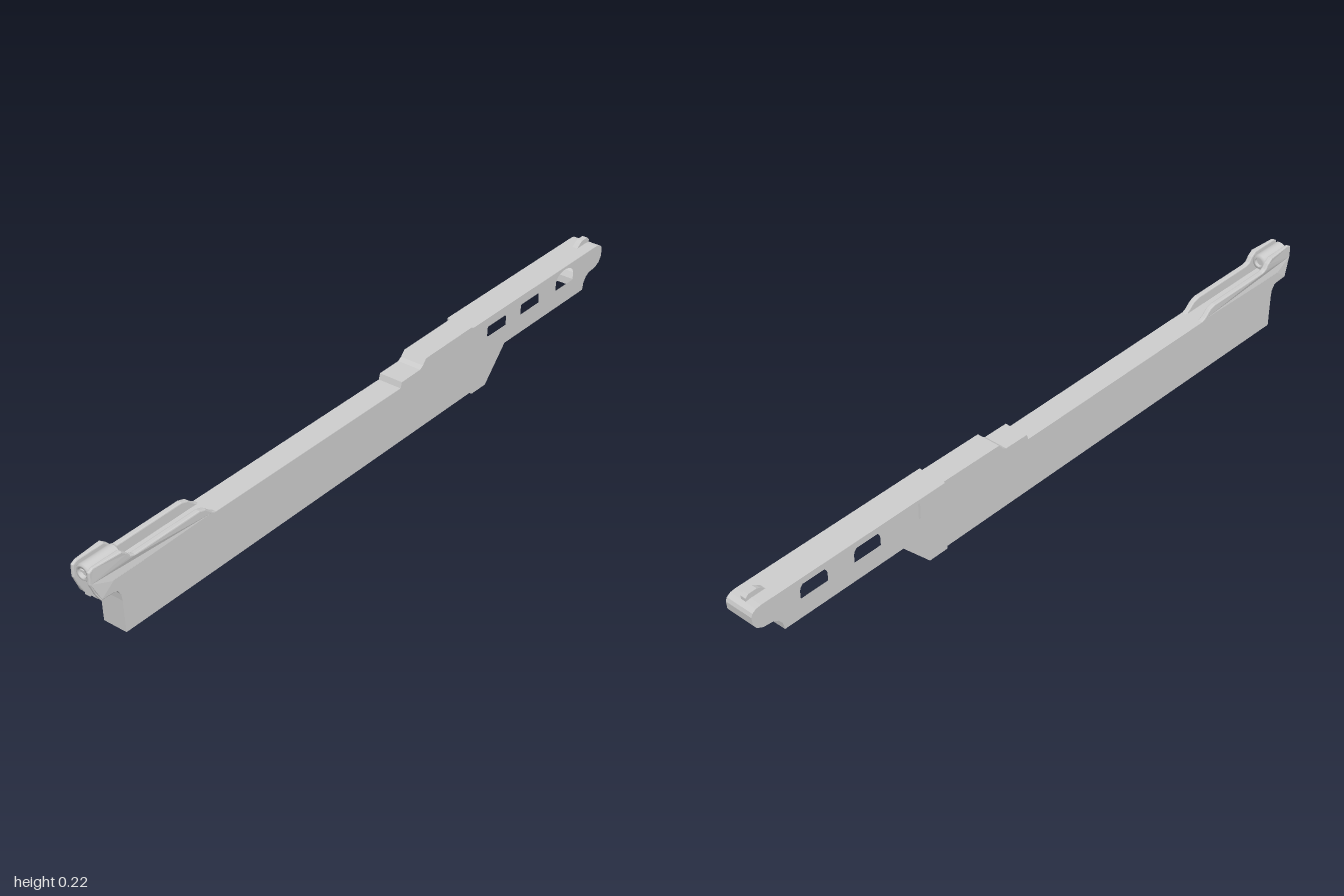
import * as THREE from 'three';

const grey = new THREE.MeshStandardMaterial({ color: 0xcccccc, side: THREE.DoubleSide });
const BODY = 0.035, BLOCK = 0.042; // half widths

function add(parent, geometry, name) {
  const mesh = new THREE.Mesh(geometry, grey);
  mesh.name = name;
  parent.add(mesh);
  return mesh;
}

// Side outline given as [z, y] points
function outline(points) {
  return new THREE.Shape(points.map(([z, y]) => new THREE.Vector2(z, y)));
}

// Sheet bridging both side walls along a [z, y] path
function ribbon(path, w) {
  const pos = [];
  for (let i = 0; i < path.length - 1; i++) {
    const [z0, y0] = path[i], [z1, y1] = path[i + 1];
    const a = [w, y0, z0], b = [-w, y0, z0], c = [-w, y1, z1], d = [w, y1, z1];
    pos.push(...a, ...c, ...b, ...a, ...d, ...c);
  }
  const g = new THREE.BufferGeometry();
  g.setAttribute('position', new THREE.Float32BufferAttribute(pos, 3));
  g.computeVertexNormals();
  return g;
}

function walls(parent, shape, w, name) {
  for (const s of [1, -1]) {
    const g = new THREE.ShapeGeometry(shape, 10).rotateY(-Math.PI / 2);
    add(parent, g, name).position.x = s * w;
  }
}

// Arched window: flat sill with rounded upper corners
function windowHole(z) {
  const h = new THREE.Path(), w = 0.042, sill = 0.145;
  h.moveTo(z - w, sill);
  h.lineTo(z + w, sill);
  h.lineTo(z + w, 0.165);
  h.bezierCurveTo(z + w, 0.183, z + 0.022, 0.193, z, 0.193);
  h.bezierCurveTo(z - 0.022, 0.193, z - w, 0.183, z - w, 0.165);
  h.lineTo(z - w, sill);
  return h;
}

export function createModel() {
  const root = new THREE.Group();
  root.name = 'steppedHousing';

  // Long front body, a hollow shell open underneath
  const body = new THREE.Group();
  body.name = 'frontBody';
  root.add(body);
  const front = [[0.908, 0], [0.912, 0.09], [0.915, 0.11], [0.925, 0.125], [0.935, 0.127]];
  const top = [[0.935, 0.16], [0.6, 0.16], [-0.09, 0.158], [-0.095, 0.174],
    [-0.17, 0.175], [-0.182, 0.182], [-0.195, 0.197], [-0.4, 0.199]];
  walls(body, outline([...front, ...top, [-0.4, 0]]), BODY, 'bodyWall');
  add(body, ribbon(front, BODY), 'bodyFront');
  add(body, ribbon(top, BODY), 'bodyTop');

  // Nose cheeks either side of the open slot
  const cheekShape = outline([[0.935, 0.128], [0.972, 0.13], [0.983, 0.15], [0.996, 0.18],
    [0.996, 0.21], [0.985, 0.216], [0.905, 0.216], [0.89, 0.205], [0.88, 0.192], [0.865, 0.187],
    [0.655, 0.187], [0.635, 0.181], [0.615, 0.164], [0.6, 0.158], [0.935, 0.158]]);
  const nose = new THREE.Group();
  nose.name = 'nose';
  root.add(nose);
  for (const s of [1, -1]) {
    const g = new THREE.ExtrudeGeometry(cheekShape, {
      depth: 0.009, bevelEnabled: true, bevelThickness: 0.003, bevelSize: 0.003, bevelSegments: 2 });
    g.translate(0, 0, -0.0045).rotateY(-Math.PI / 2);
    // Draw the front corners inwards
    const p = g.attributes.position;
    for (let i = 0; i < p.count; i++) {
      if (p.getZ(i) > 0.98 && p.getX(i) * s > 0) p.setX(i, p.getX(i) - s * 0.006);
    }
    g.computeVertexNormals();
    add(nose, g, 'noseCheek').position.x = s * 0.0275;
  }
  const core = add(nose, new THREE.BoxGeometry(0.044, 0.045, 0.055), 'noseCore');
  core.position.set(0, 0.1475, 0.945);
  const rib = add(nose, new THREE.BoxGeometry(0.016, 0.045, 0.02), 'noseRib');
  rib.position.set(0, 0.153, 0.972);

  // Round socket with a slotted pin inside
  const ring = [[0.013, -0.05], [0.019, -0.05], [0.022, -0.046], [0.022, 0.046],
    [0.019, 0.05], [0.013, 0.05], [0.013, -0.05]].map(([r, h]) => new THREE.Vector2(r, h));
  const socket = add(nose, new THREE.LatheGeometry(ring, 28).rotateX(Math.PI / 2), 'socket');
  socket.position.set(0, 0.196, 0.942);
  const pin = add(nose, new THREE.CylinderGeometry(0.0135, 0.0135, 0.08, 24).rotateX(Math.PI / 2), 'socketPin');
  pin.position.set(0, 0.196, 0.942);
  const bar = add(nose, new THREE.BoxGeometry(0.022, 0.006, 0.006), 'pinBar');
  bar.position.set(0, 0.196, 0.984);

  // Wider rear handle block with windows, also hollow
  const handle = new THREE.Group();
  handle.name = 'rearHandle';
  root.add(handle);
  const back = [[-0.39, 0.201], [-0.97, 0.201], [-0.985, 0.199], [-0.996, 0.192], [-1, 0.182],
    [-0.998, 0.16], [-0.988, 0.145], [-0.97, 0.136], [-0.94, 0.133], [-0.925, 0.125],
    [-0.914, 0.11], [-0.91, 0.09]];
  const slope = [[-0.535, 0.09], [-0.45, 0]];
  const side = outline([...back, ...slope, [-0.39, 0]]);
  side.holes = [-0.495, -0.648, -0.815].map(windowHole);
  walls(handle, side, BLOCK, 'handleWall');
  add(handle, ribbon(back, BLOCK), 'handleTop');
  add(handle, ribbon(slope, BLOCK), 'handleSlope');
  for (const s of [1, -1]) {
    const lip = add(handle, new THREE.BoxGeometry(BLOCK - BODY, 0.2, 0.01), 'handleLip');
    lip.position.set(s * (BLOCK + BODY) / 2, 0.1, -0.395);
  }

  // Small catch on the rear top edge
  const catchShape = outline([[-0.925, 0.2], [-0.94, 0.211], [-0.95, 0.216], [-0.975, 0.216],
    [-0.984, 0.208], [-0.984, 0.197]]);
  const catchGeo = new THREE.ExtrudeGeometry(catchShape, { depth: 0.016, bevelEnabled: false });
  add(handle, catchGeo.translate(0, 0, -0.008).rotateY(-Math.PI / 2), 'rearCatch');
  return root;
}
